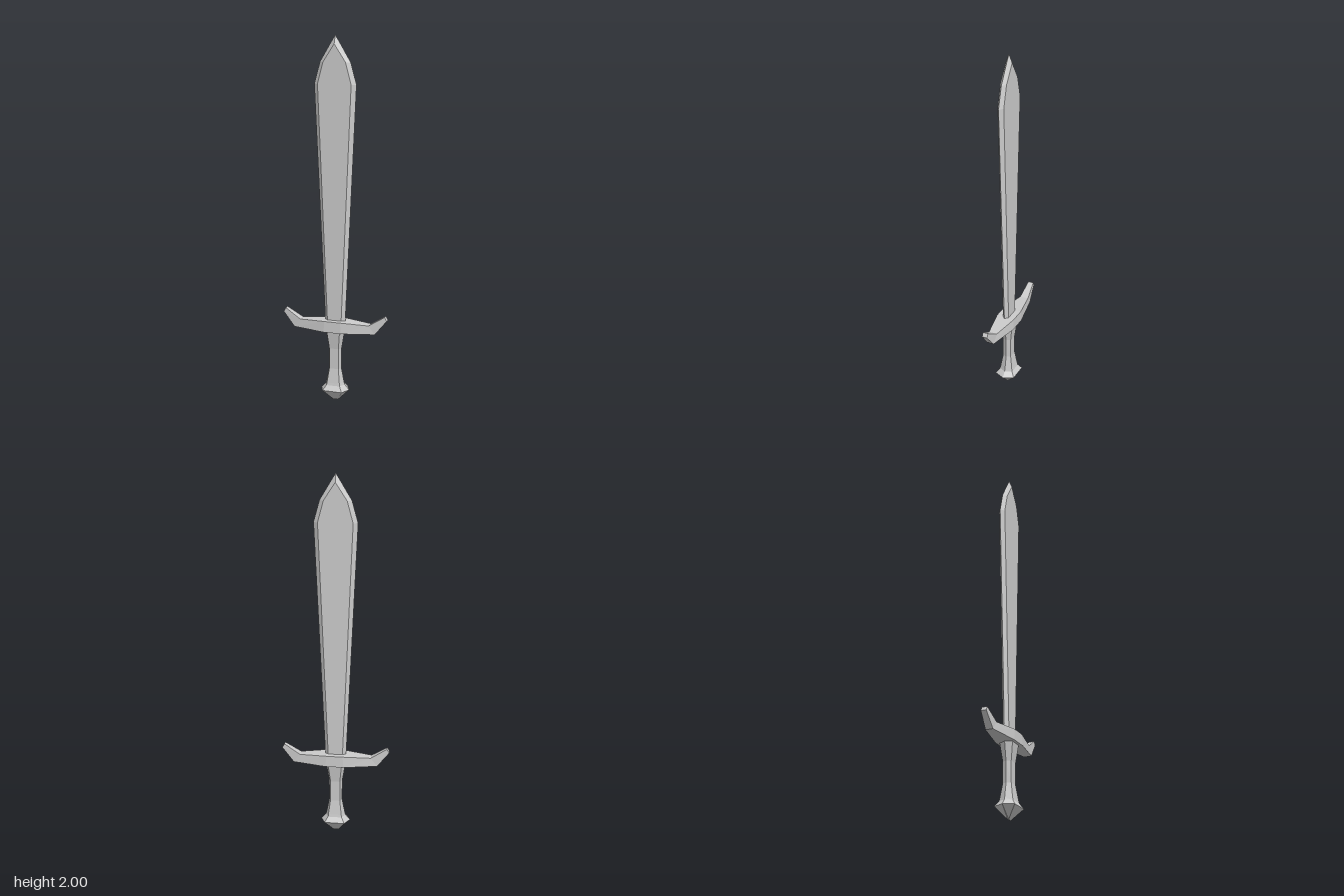
import * as THREE from 'three';

const material = new THREE.MeshStandardMaterial({ color: 0xcccccc, flatShading: true });

// Skins a row of equal-sized point rings and closes both ends
function loft(name, rings) {
  const positions = [];
  const triangle = (a, b, c) => {
    const area = new THREE.Triangle(a, b, c).getArea();
    if (area > 1e-8) for (const p of [a, b, c]) positions.push(p.x, p.y, p.z);
  };
  const n = rings[0].length;
  for (let i = 0; i < rings.length - 1; i++) {
    for (let j = 0; j < n; j++) {
      const k = (j + 1) % n;
      const [a, b, c, d] = [rings[i][j], rings[i][k], rings[i + 1][k], rings[i + 1][j]];
      triangle(a, d, c);
      triangle(a, c, b);
    }
  }
  const first = rings[0], last = rings[rings.length - 1];
  for (let j = 1; j < n - 1; j++) {
    triangle(first[0], first[j], first[j + 1]);
    triangle(last[0], last[j + 1], last[j]);
  }
  const geometry = new THREE.BufferGeometry();
  geometry.setAttribute('position', new THREE.Float32BufferAttribute(positions, 3));
  geometry.computeVertexNormals();
  const mesh = new THREE.Mesh(geometry, material);
  mesh.name = name;
  return mesh;
}

// Flattened hexagon at height y: half width w, half width of the flat f, half depth t
const hexagon = ([y, w, f, t]) =>
  [[w, 0], [f, t], [-f, t], [-w, 0], [-f, -t], [f, -t]].map(([x, z]) => new THREE.Vector3(x, y, z));

// Slanted rectangle across the guard: top corner, bottom corner, half depths
const guardRing = ([xTop, yTop, zTop, xBot, yBot, zBot]) => [
  new THREE.Vector3(xBot, yBot, zBot), new THREE.Vector3(xTop, yTop, zTop),
  new THREE.Vector3(xTop, yTop, -zTop), new THREE.Vector3(xBot, yBot, -zBot),
];

export function createModel() {
  const sword = new THREE.Group();
  sword.name = 'sword';

  // Blade widens upward, then bevels in to the point
  sword.add(loft('blade', [
    [0.42, 0.056, 0.038, 0.0175],
    [1.745, 0.117, 0.093, 0.0175],
    [1.86, 0.085, 0.062, 0.0175],
    [1.955, 0.028, 0, 0.0175],
    [2, 0, 0, 0],
  ].map(hexagon)));

  // Cross guard with upturned ends, mirrored about the middle
  const half = [
    [0.045, 0.46, 0.052, 0.05, 0.399, 0.054],
    [0.197, 0.451, 0.024, 0.232, 0.404, 0.021],
    [0.285, 0.505, 0.015, 0.297, 0.483, 0.015],
  ];
  const mirrored = half.map(([a, b, c, d, e, f]) => [-a, b, c, -d, e, f]).reverse();
  sword.add(loft('crossGuard', [...mirrored, ...half].map(guardRing)));

  // Waisted grip
  sword.add(loft('grip', [
    [0.085, 0.057, 0.038, 0.04],
    [0.105, 0.052, 0.036, 0.036],
    [0.185, 0.036, 0.026, 0.024],
    [0.3, 0.037, 0.026, 0.024],
    [0.41, 0.056, 0.038, 0.038],
  ].map(hexagon)));

  // Pommel tapering to a short ridge
  sword.add(loft('pommel', [
    [0, 0.017, 0.012, 0.003],
    [0.063, 0.081, 0.055, 0.057],
    [0.092, 0.055, 0.038, 0.038],
  ].map(hexagon)));

  return sword;
}
